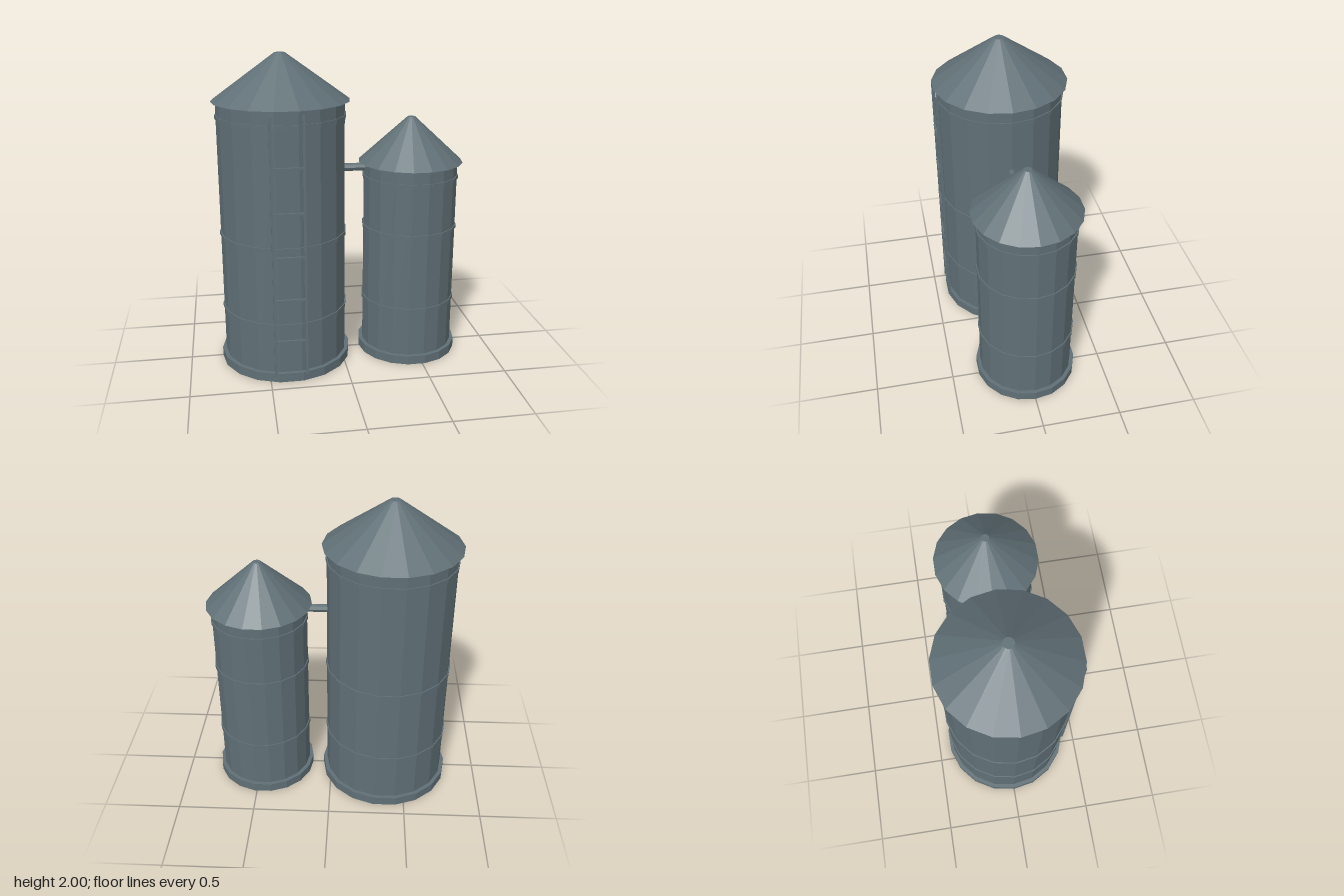
import * as THREE from 'three';

const SIDES = 18;

export function createModel() {
  const model = new THREE.Group();
  model.name = 'twinSilos';
  const steel = new THREE.MeshStandardMaterial({ color: 0x607076, flatShading: true });
  steel.name = 'greySteel';

  const add = (parent, name, geometry, x, y, z) => {
    const mesh = new THREE.Mesh(geometry, steel);
    mesh.name = name;
    mesh.position.set(x, y, z);
    parent.add(mesh);
    return mesh;
  };

  // Faceted drum between two heights, with a corner pointing along x
  const drum = (parent, name, rTop, rBottom, y0, y1) =>
    add(parent, name,
      new THREE.CylinderGeometry(rTop, rBottom, y1 - y0, SIDES, 1, false, Math.PI / 2),
      0, (y0 + y1) / 2, 0);

  // Silo: footing, wall, hoops and conical roof
  const silo = (name, x, s) => {
    const group = new THREE.Group();
    group.name = name;
    group.position.x = x;
    drum(group, 'footing', s.foot, s.foot, 0, 0.058);
    drum(group, 'wall', s.wall, s.wall, 0.03, s.eaves);
    for (const y of s.hoops) drum(group, 'hoop', s.wall + 0.007, s.wall + 0.007, y - 0.012, y + 0.012);
    drum(group, 'roof', s.cap, s.roof, s.eaves, s.top);
    model.add(group);
    return group;
  };

  const tall = silo('tallSilo', -0.369, {
    foot: 0.425, wall: 0.4, roof: 0.43, cap: 0.033,
    eaves: 1.713, top: 2, hoops: [0.374, 0.873, 1.618],
  });
  silo('shortSilo', 0.46, {
    foot: 0.328, wall: 0.303, roof: 0.335, cap: 0.025,
    eaves: 1.3, top: 1.586, hoops: [0.374, 0.873, 1.205],
  });

  // Ladder on the front of the tall silo
  const ladder = new THREE.Group();
  ladder.name = 'ladder';
  tall.add(ladder);
  for (const side of [-1, 1]) {
    add(ladder, 'ladderRail', new THREE.BoxGeometry(0.017, 1.64, 0.02), side * 0.096, 0.865, 0.412);
  }
  for (let i = 0; i < 5; i++) {
    add(ladder, 'ladderRung', new THREE.BoxGeometry(0.18, 0.012, 0.014), 0, 0.28 + i * 0.275, 0.418);
  }

  // Pipe joining the two silos
  const pipe = add(model, 'connectingPipe',
    new THREE.CylinderGeometry(0.026, 0.026, 0.17, 8), 0.095, 1.27, 0);
  pipe.rotation.z = Math.PI / 2;

  return model;
}
